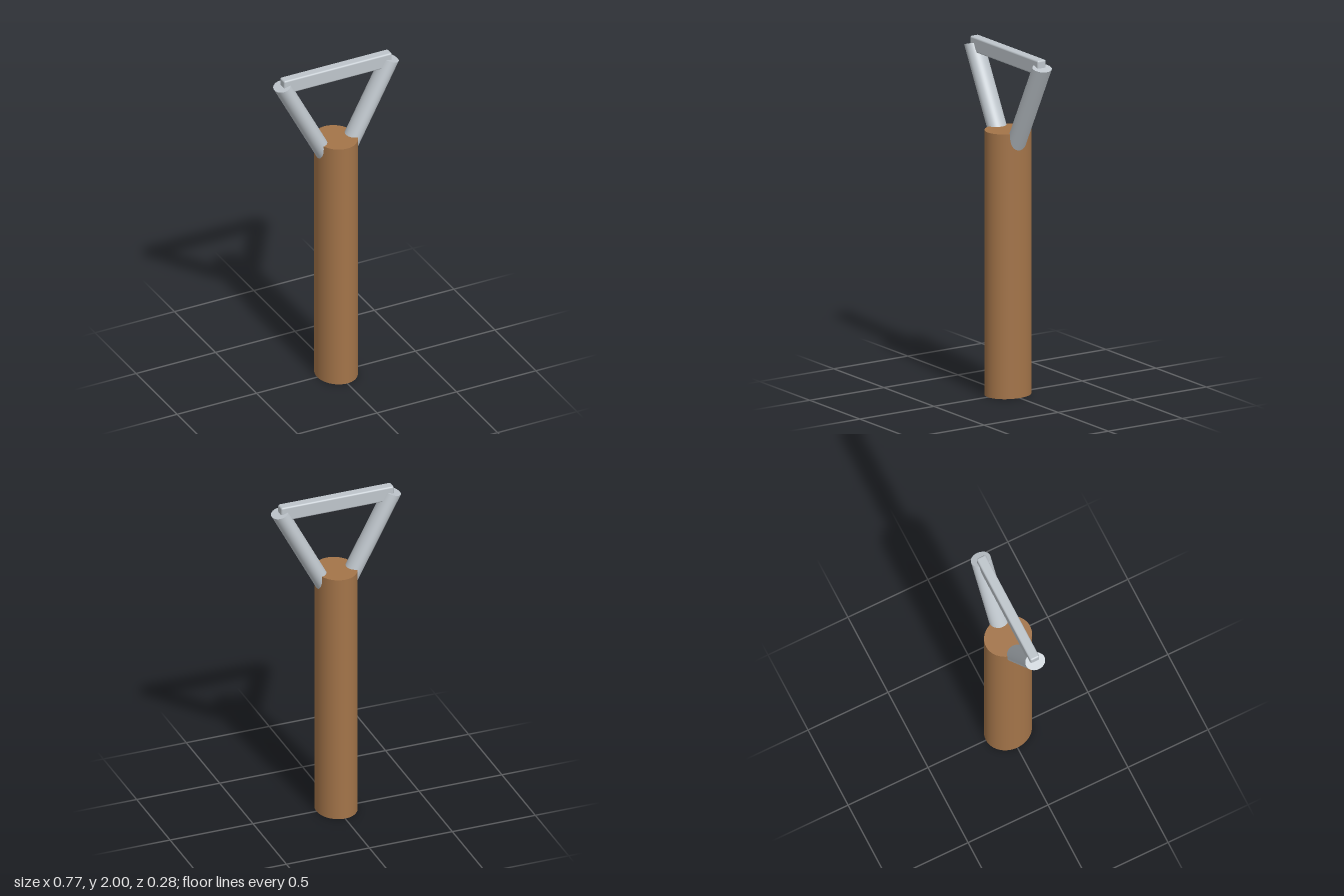
import * as THREE from 'three';
import { RoundedBoxGeometry } from 'three/addons/geometries/RoundedBoxGeometry.js';

export function createModel() {
  const model = new THREE.Group();
  model.name = 'handledTool';
  const wood = new THREE.MeshStandardMaterial({ color: 0xa37449 });
  wood.name = 'wood brown';
  const metal = new THREE.MeshStandardMaterial({ color: 0xbec5cb });
  metal.name = 'metal grey';

  const add = (name, geometry, material) => {
    const mesh = new THREE.Mesh(geometry, material);
    mesh.name = name;
    model.add(mesh);
  };

  // Oval wooden shaft
  const shaft = new THREE.CylinderGeometry(1, 1, 1.53, 48);
  shaft.scale(0.118, 1, 0.138).translate(0, 0.765, 0);
  add('shaft', shaft, wood);

  // Slanted arms: unit cylinders skewed so the caps are not quite square to the axis
  for (const side of [1, -1]) {
    const low = new THREE.Vector3(side * 0.037, 1.38, 0);
    const high = new THREE.Vector3(side * 0.34, 1.955, 0);
    const axis = high.clone().sub(low);
    const matrix = new THREE.Matrix4().makeBasis(
      new THREE.Vector3(0.0465, -side * 0.0137, 0),
      axis,
      new THREE.Vector3(0, 0, 0.058)
    );
    matrix.setPosition(low.add(high).multiplyScalar(0.5));
    const arm = new THREE.CylinderGeometry(1, 1, 1, 40).applyMatrix4(matrix);
    add(side > 0 ? 'leftArm' : 'rightArm', arm, metal);
  }

  // Softly rounded crossbar
  const bar = new RoundedBoxGeometry(0.68, 0.087, 0.057, 3, 0.01);
  bar.translate(0, 1.9565, 0);
  add('crossbar', bar, metal);

  return model;
}
